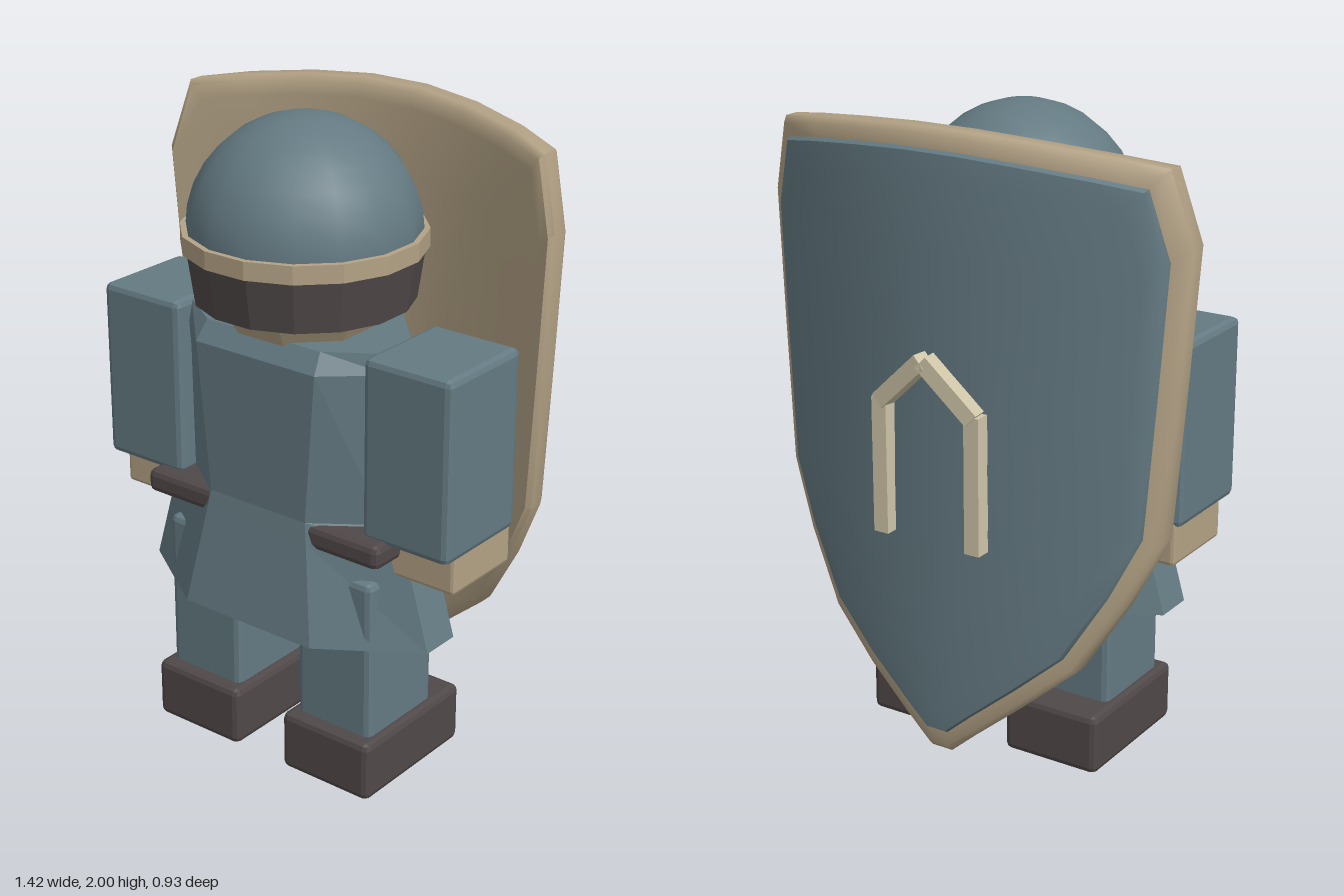
import * as THREE from 'three';
import { toCreasedNormals } from 'three/addons/utils/BufferGeometryUtils.js';
import { RoundedBoxGeometry } from 'three/addons/geometries/RoundedBoxGeometry.js';

const paint = (name, color) => {
  const m = new THREE.MeshStandardMaterial({ color });
  m.name = name;
  return m;
};

// Skin through rings of points; creases sharper than the angle stay hard
function loft(rings, crease) {
  const n = rings[0].length, index = [];
  for (let r = 0; r < rings.length - 1; r++) {
    for (let i = 0; i < n; i++) {
      const j = (i + 1) % n;
      const a = r * n + i, b = r * n + j, c = b + n, d = a + n;
      index.push(a, d, c, a, c, b);
    }
  }
  const g = new THREE.BufferGeometry();
  g.setAttribute('position', new THREE.Float32BufferAttribute(rings.flat(2), 3));
  g.setIndex(index);
  return toCreasedNormals(g, crease);
}

// Box with flat chamfered edges, given by its limits
function chamferBox([x0, x1], [y0, y1], [z0, z1], bevel = 0.02) {
  const g = new RoundedBoxGeometry(x1 - x0, y1 - y0, z1 - z0, 1, bevel);
  g.translate((x0 + x1) / 2, (y0 + y1) / 2, (z0 + z1) / 2);
  g.computeVertexNormals();
  return g;
}

// Eight-sided tunic section
function section(y, front, half, zf, zb, sf = 0.19, sb = 0.06) {
  return [[half, y, sf], [front, y, zf], [-front, y, zf], [-half, y, sf],
    [-half, y, sb], [-front, y, zb], [front, y, zb], [half, y, sb]];
}

export function createModel() {
  const blue = paint('slate blue', 0x647a82);
  const tan = paint('tan', 0xb3a285);
  const dark = paint('dark brown', 0x504848);
  const cream = paint('cream', 0xcfc5a8);

  const model = new THREE.Group();
  const body = new THREE.Group();
  body.name = 'body';
  body.position.x = 0.018;
  model.add(body);
  const add = (name, geometry, material, parent = body) => {
    const mesh = new THREE.Mesh(geometry, material);
    mesh.name = name;
    parent.add(mesh);
    return mesh;
  };

  // Tunic with flared skirt
  add('tunic', loft([
    section(0.49, 0, 0, 0.13, 0.13, 0.13, 0.13),
    section(0.49, 0.24, 0.53, 0.38, -0.11),
    section(0.80, 0.19, 0.44, 0.333, -0.085),
    section(0.86, 0.18, 0.37, 0.324, -0.07),
    section(1.33, 0.22, 0.38, 0.33, -0.12),
    section(1.39, 0.21, 0.36, 0.29, -0.10),
    section(1.39, 0, 0, 0.1, 0.1, 0.1, 0.1),
  ], 0.02), blue);
  add('belt', chamferBox([-0.44, 0.44], [0.78, 0.855], [-0.145, 0.324]), dark);

  // Limbs, mirrored
  for (const s of [1, -1]) {
    const side = s > 0 ? 'left' : 'right';
    const span = (a, b) => (s > 0 ? [a, b] : [-b, -a]);
    add(side + 'Arm', chamferBox(span(0.345, 0.645), [0.84, 1.4], [-0.07, 0.272]), blue);
    add(side + 'Hand', chamferBox(span(0.35, 0.63), [0.72, 0.86], [-0.072, 0.212], 0.012), tan);
    add(side + 'Leg', chamferBox(span(0.117, 0.39), [0.17, 0.7], [-0.03, 0.285]), blue);
    add(side + 'Boot', chamferBox(span(0.09, 0.417), [0, 0.192], [-0.145, 0.33]), dark);
  }

  // Head and helmet
  const drum = (rTop, rBottom, y0, y1, sides) => {
    const g = new THREE.CylinderGeometry(rTop, rBottom, y1 - y0, sides);
    g.rotateY(Math.PI / sides);
    g.translate(0, (y0 + y1) / 2, 0.098);
    return toCreasedNormals(g, 0.1);
  };
  add('neck', drum(0.28, 0.2, 1.35, 1.48, 8), tan);
  add('helmetLower', drum(0.35, 0.327, 1.46, 1.62, 16), dark);
  add('helmetBand', drum(0.361, 0.361, 1.615, 1.67, 16), tan);
  const dome = new THREE.SphereGeometry(0.345, 16, 8, 0, Math.PI * 2, 0, Math.PI / 2);
  dome.rotateY(Math.PI / 16);
  dome.translate(0, 1.655, 0.098);
  add('helmetDome', dome, blue);

  // Pointed flap at the back of the waist
  const flap = (half, top, edge, tip, z0, z1) => {
    const shape = new THREE.Shape([[-half, top], [-half, edge], [0, tip], [half, edge], [half, top]]
      .map(([x, y]) => new THREE.Vector2(x, y)));
    const g = new THREE.ExtrudeGeometry(shape, { depth: z1 - z0, bevelEnabled: false });
    return g.translate(0, 0, z0);
  };
  add('backFlap', flap(0.14, 0.8, 0.43, 0.38, -0.15, -0.06), blue);
  add('backFlapTrim', flap(0.1, 0.75, 0.46, 0.43, -0.159, -0.15), tan);

  // Curved shield on the back
  const shield = new THREE.Group();
  shield.name = 'shield';
  model.add(shield);
  const half = [[0.035, 0.09], [0.12, 0.165], [0.27, 0.29], [0.43, 0.43], [0.56, 0.65], [0.655, 0.855],
    [0.685, 1.3], [0.71, 1.72], [0.65, 1.935], [0.5, 1.961], [0.3, 1.985], [0.1, 1.999]];
  const outline = [...half, ...half.map(([x, y]) => [-x, y]).reverse()];
  const bend = (x) => -0.31 + 0.19 * (x / 0.71) ** 2;
  const ring = ([s, off]) => outline.map(([x, y]) =>
    [x * s, 1.15 + (y - 1.15) * s, bend(x * s) + off]);
  add('shieldFrame', loft([[0, 0.005], [0.35, 0.01], [0.7, 0.01], [0.93, 0.005], [0.98, 0],
    [1, -0.02], [1, -0.07], [0.98, -0.09], [0.92, -0.09]].map(ring), 0.9), tan, shield);
  add('shieldFace', loft([[0.935, -0.088], [0.925, -0.106], [0.85, -0.11], [0.6, -0.11],
    [0.3, -0.11], [0, -0.11]].map(ring), 0.9), blue, shield);

  // Raised arch on the shield face
  for (const s of [1, -1]) {
    const post = add('archPost', new THREE.BoxGeometry(0.05, 0.42, 0.05), cream, shield);
    post.position.set(s * 0.16, 1.0, -0.428);
    const bar = add('archBar', new THREE.BoxGeometry(0.22, 0.05, 0.05), cream, shield);
    bar.position.set(s * 0.08, 1.275, -0.441);
    bar.rotation.set(0, -s * 0.1, -s * 0.75);
  }
  return model;
}
